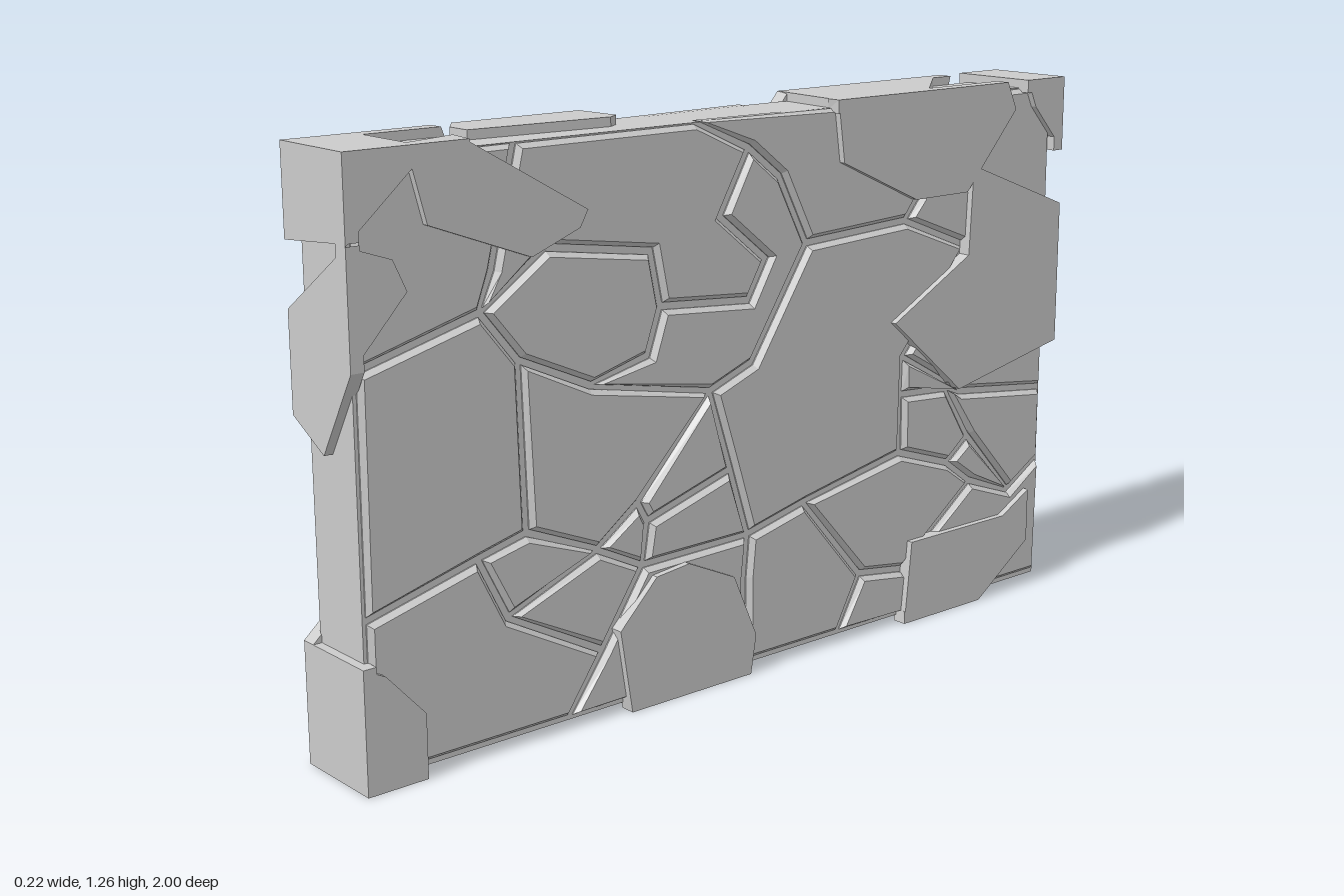
import * as THREE from 'three';

const grey = new THREE.MeshStandardMaterial({ color: 0xcccccc, flatShading: true });
const H = 1.265;

// Crack junctions on a long face: [along the face left to right, height]
const lowerNodes = {
  A: [-.98, .02], a: [-.98, .35], b: [-.71, .42], c: [-.59, .45], d: [-.41, .375], e: [-.3, .455],
  f: [-.04, .48], g: [-.1, .665], h: [.01, .32], i: [0, .22], j: [-.64, .28], k: [-.4, .15],
  l: [-.49, .02], m: [-.29, .315], n: [-.275, .41], G: [0, .02], F1: [.18, .36], F2: [.36, .15],
  F3: [.29, .02], F4: [.5, .13], K: [.7, .02], B: [.98, .02], D1: [.485, .42], E0: [.485, .56],
  E1: [.64, .55], E2: [.72, .42], E3: [.65, .365], E4: [.73, .305], E5: [.87, .255], E6: [.98, .32],
};
const upperNodes = {
  D: [-.98, 1.25], o: [-.98, .845], p: [-.69, .92], q: [-.6, .81], r: [-.6, 1.25], s: [-.66, 1],
  t: [-.53, 1.03], u: [-.26, .99], v: [-.235, .87], w: [-.27, .77], x: [-.42, .73], y: [.01, .85],
  z: [.06, .935], A1: [-.07, 1.04], A2: [.01, 1.18], A3: [-.14, 1.25], B1: [.1, 1.11],
  B2: [.18, .955], B3: [.02, .71], C1: [.49, .97], C2: [.69, .89], C3: [.53, 1.02], T: [.52, 1.25],
  C: [.98, 1.25], J: [.98, .85], D2: [.49, .65], D3: [.69, .535], D4: [.98, .5],
};
const nodes = { ...lowerNodes, ...upperNodes };

// Stones between the cracks
const stones = [
  'A a b j k l', 'a o p q c b', 'o D r s p', 'p t u v w x q', 'r s p t u v y z A1 A2 A3',
  'g x w v y z A1 A2 B1 B2 B3', 'c q x g e d', 'g f n e', 'n f h m', 'd e n m', 'b c d j', 'j d m k',
  'k m h i G l', 'g B3 B2 C1 C2 D2 D1 F1 h f', 'A3 A2 B1 B2 C1 C3 T', 'T C3 C1 C2 J C',
  'C2 J D4 D3 D2', 'D2 D3 E1 E0', 'E0 E1 E2 E3 D1', 'D3 D4 E6 E5 E2 E1', 'E2 E5 E4 E3',
  'h F1 F2 F3 G i', 'F1 D1 E3 E4 F4 F2', 'F2 F4 K F3', 'F4 E4 E5 E6 B K',
];

// Each face: rotation that turns local +z outward, and distance of its outer surface
const faces = {
  left: { rot: [0, Math.PI / 2, 0], at: [.11, 0, 0], thick: .035 },   // u = -z
  right: { rot: [0, -Math.PI / 2, 0], at: [-.11, 0, 0], thick: .035 }, // u = z
  front: { rot: [0, 0, 0], at: [0, 0, 1], thick: .03 },               // u = x
  back: { rot: [0, Math.PI, 0], at: [0, 0, -1], thick: .03 },         // u = -x
  top: { rot: [-Math.PI / 2, 0, 0], at: [0, H, 0], thick: .03 },      // x, -z
  bottom: { rot: [Math.PI / 2, 0, 0], at: [0, 0, 0], thick: .03 },    // x, z
};

const rect = (x0, y0, x1, y1) => [[x0, y0], [x1, y0], [x1, y1], [x0, y1]];

// Raised broken slabs that wrap the edges and corners
const plates = {
  left: [
    [[-.85, H], [-.73, H], [-.44, 1.1], [-.46, 1.065], [-.58, 1.02], [-.82, 1.11], [-.85, 1.22]],
    [[-1, H], [-.85, H], [-.85, 1.22], [-1, 1.09]],
    [[-1, 1.09], [-.9, 1.055], [-.87, .99], [-1, .85]],
    [[-1, 0], [-1, .265], [-.95, .24], [-.86, .14], [-.86, 0]],
    [[-.34, 0], [-.37, .19], [-.27, .29], [-.18, .3], [-.05, .24], [.015, .09], [0, 0]],
    [[.49, 0], [.51, .2], [.83, .2], [.92, .25], [.92, .12], [.75, 0]],
    [[.69, 1.08], [1, .96], [1, .62], [.66, .55], [.44, .74], [.68, .87]],
    [[.25, H], [.27, 1.125], [.5, 1.02], [.67, 1.02], [.83, 1.2], [.8, H]],
    [[.87, H], [.9, 1.2], [1, 1.09], [1, H]],
  ],
  right: [
    [[-1, 0], [-1, .32], [-.8, .2], [-.75, .14], [-.69, .08], [-.75, 0]],
    [[-1, .955], [-.9, .98], [-.87, .89], [-.56, .81], [-.56, .73], [-.75, .645], [-1, .69]],
    [[-.8, H], [-.76, 1.12], [-.55, .92], [-.35, .88], [-.12, .89], [-.1, 1.07], [-.27, H]],
    [[-1, H], [-1, 1.09], [-.87, 1.12], [-.87, H]],
    [[.6, 1.11], [.69, 1.07], [.78, 1.22], [.84, H], [.66, H]],
    [[1, H], [1, 1.08], [.9, 1.1], [.84, H]],
    [[.7, .58], [.8, .85], [.93, .95], [1, .94], [1, .73], [.9, .65], [.83, .45], [.74, .41]],
    [[1, 0], [1, .265], [.95, .31], [.86, .29], [.86, 0]],
    [[.1, 0], [.12, .17], [.25, .18], [.43, .27], [.45, 0]],
  ],
  front: [
    rect(-.11, 0, .11, .265),
    [[-.11, 1.075], [.11, 1.095], [.11, H], [-.11, H]],
    [[-.11, .94], [.11, 1.09], [.11, .85], [0, .67], [-.11, .73]],
  ],
  back: [
    rect(-.11, 1.09, .11, H),
    [[-.11, .62], [0, .62], [.11, .69], [.11, .955], [-.11, .955]],
    [[0, 0], [.11, 0], [.11, .32], [.02, .31], [0, .28]],
  ],
  top: [
    rect(-.11, .87, .11, 1),
    rect(-.11, -1, .11, -.84),
    [[-.11, .78], [-.11, .27], [.11, .25], [.11, .53]],
    [[-.113, -.29], [0, -.28], [.02, -.31], [0, -.65], [-.06, -.65], [-.113, -.61]],
    [[.11, -.85], [.11, -.72], [.04, -.71], [.08, -.85]],
  ],
  bottom: [
    rect(-.11, .86, .11, 1),
    [[.11, 0], [.11, .34], [.03, .32], [0, .2], [.03, .02]],
    [[.11, -.49], [.11, -.75], [.05, -.72], [.03, -.52]],
    [[-.11, .1], [-.11, .45], [-.03, .42], [-.03, .14]],
    [[-.11, -1], [0, -1], [-.02, -.85], [-.11, -.75]],
  ],
};

const toShape = pts => new THREE.Shape(pts.map(([x, y]) => new THREE.Vector2(x, y)));

function addMesh(parent, geometry, name) {
  const mesh = new THREE.Mesh(geometry, grey);
  mesh.name = name;
  parent.add(mesh);
  return mesh;
}

function faceGroup(name, face) {
  const group = new THREE.Group();
  group.name = name;
  group.rotation.set(...face.rot);
  group.position.set(...face.at);
  return group;
}

export function createModel() {
  const model = new THREE.Group();
  model.name = 'crackedStoneWall';

  // Core seen at the bottom of the cracks and on the narrow sides
  const core = addMesh(model, new THREE.BoxGeometry(.16, 1.23, 1.96), 'core');
  core.position.y = .63;

  // Bevelled stones on both long faces
  for (const side of ['left', 'right']) {
    const group = faceGroup(side + 'Stones', faces[side]);
    for (const cell of stones) {
      const geo = new THREE.ExtrudeGeometry(toShape(cell.split(' ').map(k => nodes[k])), {
        depth: .02, bevelThickness: .012, bevelSize: .01, bevelOffset: -.018, bevelSegments: 1,
      });
      geo.translate(0, 0, -.047);
      addMesh(group, geo, 'stone');
    }
    model.add(group);
  }

  // Raised edge plates on all six faces
  for (const [name, list] of Object.entries(plates)) {
    const group = faceGroup(name + 'Plates', faces[name]);
    const depth = faces[name].thick;
    for (const pts of list) {
      const geo = new THREE.ExtrudeGeometry(toShape(pts), { depth, bevelEnabled: false });
      geo.translate(0, 0, -depth);
      addMesh(group, geo, 'plate');
    }
    model.add(group);
  }
  return model;
}
